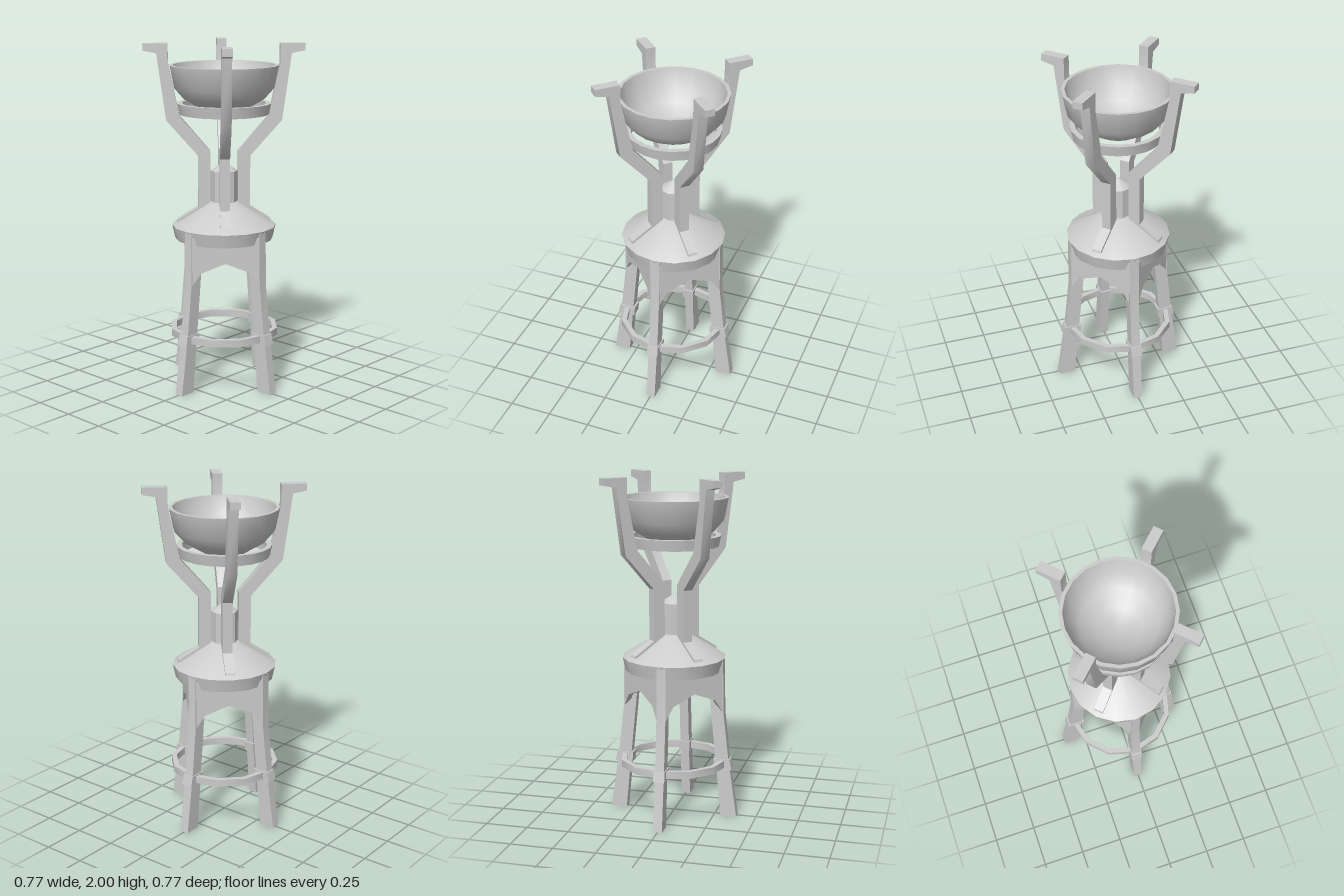
import * as THREE from 'three';
import { toCreasedNormals } from 'three/addons/utils/BufferGeometryUtils.js';

const material = new THREE.MeshStandardMaterial({ color: 0xcccccc });

function add(parent, name, geometry, angle = 0) {
  const mesh = new THREE.Mesh(toCreasedNormals(geometry, 0.6), material);
  mesh.name = name;
  mesh.rotation.y = angle;
  parent.add(mesh);
}

const vectors = (points) => points.map(([x, y]) => new THREE.Vector2(x, y));

// Revolved profile of [radius, y], running anticlockwise
const turned = (points, sides) => new THREE.LatheGeometry(vectors(points), sides);

// Flat outline of [x, y], extruded along z from the given start
function slab(points, depth, start = -depth / 2) {
  const geometry = new THREE.ExtrudeGeometry(new THREE.Shape(vectors(points)), { depth, bevelEnabled: false });
  return geometry.translate(0, 0, start);
}

// Rectangular-section ring with slanted outer wall
const ring = (inner, low, high, y0, y1, sides) =>
  turned([[inner, y0], [low, y0], [high, y1], [inner, y1], [inner, y0]], sides);

export function createModel() {
  const model = new THREE.Group();

  // Side outlines as [radius, y]
  const legOutline = [[0.29, 0], [0.385, 0], [0.333, 0.36], [0.302, 0.64], [0.298, 0.945], [0.2, 0.945], [0.228, 0.64], [0.262, 0.3]];
  const collarOutline = [[0.25, 0.29], [0.355, 0.29], [0.342, 0.35], [0.245, 0.35]];
  const armOutline = [
    [0.08, 1.0], [0.2, 0.98], [0.275, 0.97], [0.27, 0.985], [0.15, 1.06], [0.15, 1.36],
    [0.331, 1.565], [0.383, 1.945], [0.46, 1.96], [0.46, 2], [0.318, 2], [0.318, 1.89],
    [0.255, 1.59], [0.08, 1.385],
  ];
  const apronOutline = [[-0.19, 0.92], [-0.19, 0.64], [-0.14, 0.715], [0, 0.77], [0.14, 0.715], [0.19, 0.64], [0.19, 0.92]];

  // Four legs and collars on the axes, aprons and arms on the diagonals
  for (let i = 0; i < 4; i++) {
    const straight = i * Math.PI / 2;
    const diagonal = straight + Math.PI / 4;
    add(model, 'leg', slab(legOutline, 0.053), straight);
    add(model, 'legCollar', slab(collarOutline, 0.066), straight);
    add(model, 'archedApron', slab(apronOutline, 0.03, 0.199), diagonal);
    add(model, 'arm', slab(armOutline, 0.057), diagonal);
  }

  // Lower stretcher ring
  add(model, 'footRing', ring(0.29, 0.32, 0.32, 0.3, 0.342, 12));

  // Seat-like platform with conical top
  add(model, 'platform', turned([[0, 0.875], [0.285, 0.875], [0.302, 0.952], [0.08, 1.09], [0, 1.09]], 16));

  // Central post with pointed cap
  add(model, 'post', turned([[0, 1.05], [0.078, 1.05], [0.078, 1.27], [0, 1.322]], 8));

  // Ring carrying the bowl
  add(model, 'bowlRing', ring(0.24, 0.258, 0.27, 1.6, 1.662, 20));

  // Bowl: outer wall, rim, then the inside
  add(model, 'bowl', turned([
    [0, 1.578], [0.13, 1.625], [0.23, 1.685], [0.287, 1.75], [0.312, 1.878], [0.292, 1.878],
    [0.265, 1.77], [0.21, 1.705], [0.12, 1.65], [0, 1.625],
  ], 20));

  return model;
}
